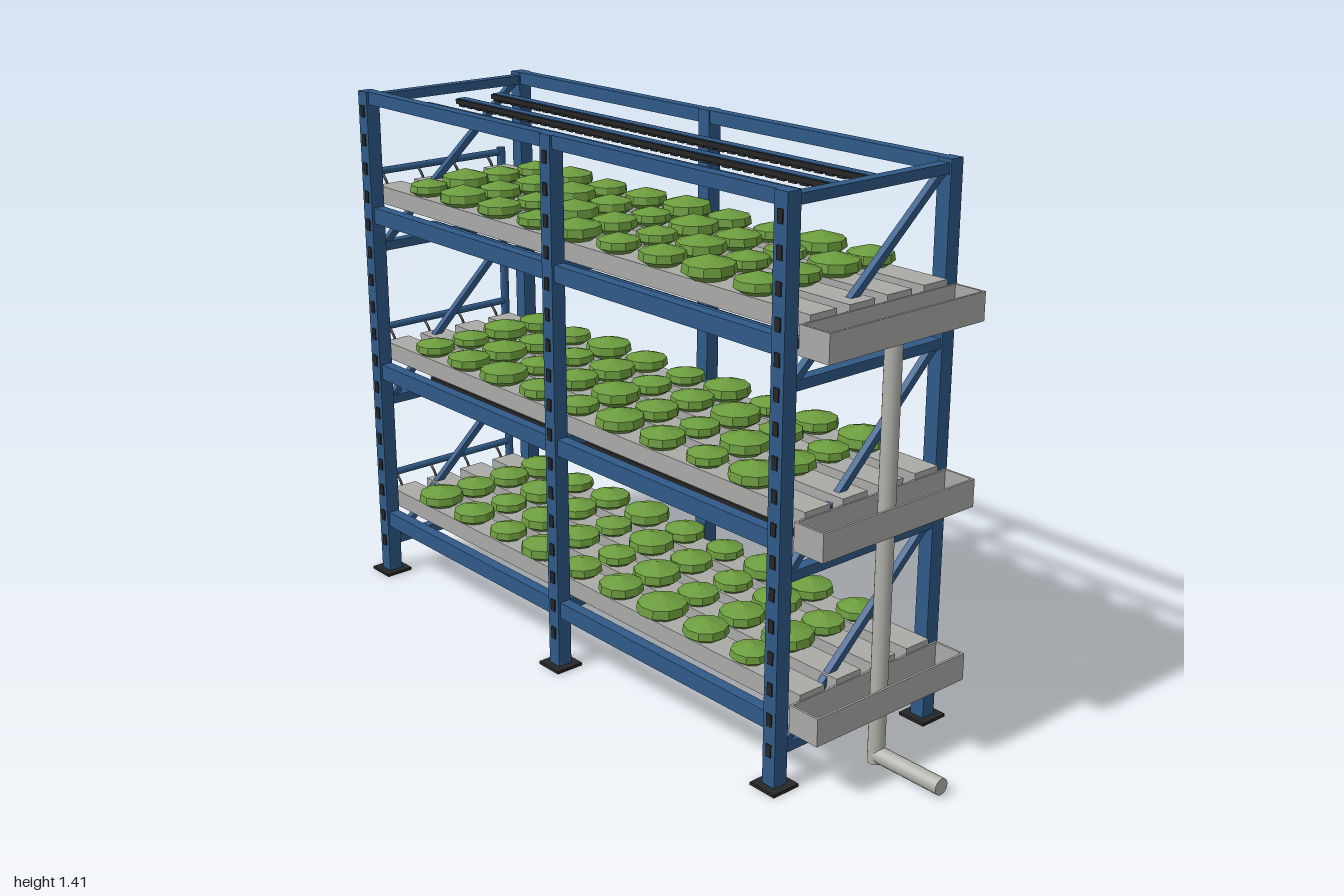
import * as THREE from 'three';

const mat = (name, color, flat = false) => {
  const m = new THREE.MeshStandardMaterial({ color, flatShading: flat });
  m.name = name;
  return m;
};

export function createModel() {
  const blue = mat('blue steel', 0x2f5a88);
  const grey = mat('gutter grey', 0xaaaaa7);
  const pipeGrey = mat('pipe grey', 0xb2b2ac);
  const dark = mat('dark metal', 0x262626);
  const green = mat('leaf green', 0x6c9c3e, true);
  const red = mat('valve red', 0xa52a24);

  const model = new THREE.Group();
  const group = (name) => {
    const g = new THREE.Group();
    g.name = name;
    model.add(g);
    return g;
  };
  const add = (parent, name, geo, material, x, y, z) => {
    const m = new THREE.Mesh(geo, material);
    m.name = name;
    m.position.set(x, y, z);
    parent.add(m);
    return m;
  };
  const box = (parent, name, material, w, h, d, x, y, z) =>
    add(parent, name, new THREE.BoxGeometry(w, h, d), material, x, y, z);
  // Round bar between two points
  const rod = (parent, name, material, a, b, r, sides = 16) => {
    const p = new THREE.Vector3(...a), q = new THREE.Vector3(...b);
    const mid = p.clone().add(q).multiplyScalar(0.5);
    const m = add(parent, name, new THREE.CylinderGeometry(r, r, p.distanceTo(q), sides), material, mid.x, mid.y, mid.z);
    m.quaternion.setFromUnitVectors(new THREE.Vector3(0, 1, 0), q.sub(p).normalize());
    return m;
  };

  const postX = [-0.895, -0.09, 0.715];
  const tierTop = [0.238, 0.688, 1.14];
  const gutterZ = [-0.18, -0.06, 0.06, 0.18];

  // Posts, feet and front slots
  const frame = group('frame');
  for (const x of postX) {
    for (const s of [-1, 1]) {
      box(frame, 'post', blue, 0.04, 1.41, 0.04, x, 0.705, s * 0.256);
      box(frame, 'footPlate', dark, 0.08, 0.008, 0.08, x, 0.004, s * 0.256);
    }
    for (let y = 0.1; y < 1.38; y += 0.0785)
      box(frame, 'postSlot', dark, 0.016, 0.032, 0.004, x, y, 0.277);
  }

  // Long beams, mid cross bars
  const longBeam = (y, h) => {
    for (const s of [-1, 1]) box(frame, 'longBeam', blue, 1.61, h, 0.03, -0.09, y, s * 0.254);
  };
  longBeam(1.393, 0.034);
  for (const top of tierTop) {
    longBeam(top - 0.07, 0.044);
    box(frame, 'crossBar', blue, 0.03, 0.03, 0.48, -0.09, top - 0.065, 0);
  }

  // End bars and diagonal braces
  const barY = [0.097, 0.527, 0.977, 1.388];
  for (const x of [postX[0], postX[2]]) {
    barY.forEach((y, i) => {
      box(frame, 'endBar', blue, 0.03, 0.025, 0.48, x, y, 0);
      if (i < 3) {
        const dy = barY[i + 1] - y, dz = 0.47;
        const brace = box(frame, 'diagonalBrace', blue, 0.018, Math.hypot(dy, dz), 0.018, x, y + dy / 2, 0);
        brace.rotation.x = -Math.atan2(dz, dy);
      }
    });
  }

  // Leafy head profile, scaled per plant
  const headGeo = new THREE.LatheGeometry(
    [[0.001, 0], [0.65, 0], [1, 0.25], [0.95, 0.62], [0, 0.95]].map(([r, y]) => new THREE.Vector2(r, y)), 10);
  const sizes = [0.064, 0.055, 0.059, 0.066, 0.058, 0.053, 0.064, 0.059, 0.053];

  const gutters = group('gutters');
  const plants = group('plants');
  const drains = group('drainage');
  const supply = group('waterSupply');

  tierTop.forEach((top, t) => {
    // Gutters with plants
    gutterZ.forEach((z, j) => {
      box(gutters, 'gutter', grey, 1.685, 0.048, 0.08, -0.0875, top - 0.024, z);
      for (let i = 0; i < 9; i++) {
        const r = sizes[(i + j * 2 + t * 4) % 9];
        const head = add(plants, 'plant', headGeo, green, -0.735 + i * 0.161, top, z);
        head.scale.set(r, r * 0.9, r);
        head.rotation.y = i * 1.3 + j * 0.7 + t;
      }
    });

    // Open collecting trough
    const y0 = top - 0.085;
    box(drains, 'troughFloor', grey, 0.09, 0.008, 0.5, 0.797, y0 + 0.004, 0);
    for (const s of [-1, 1]) {
      box(drains, 'troughSide', grey, 0.006, 0.07, 0.5, 0.797 + s * 0.042, y0 + 0.035, 0);
      box(drains, 'troughEnd', grey, 0.09, 0.07, 0.006, 0.797, y0 + 0.035, s * 0.247);
    }

    // Feed manifold with a drip tube to each gutter
    const my = top + 0.027;
    rod(supply, 'manifold', blue, [-0.973, my, -0.235], [-0.973, my, 0.23], 0.01);
    for (const z of gutterZ) {
      const path = new THREE.CatmullRomCurve3([[-0.973, my, z], [-0.95, my - 0.02, z], [-0.932, my - 0.047, z], [-0.925, my - 0.05, z]]
        .map((p) => new THREE.Vector3(...p)));
      add(supply, 'dripTube', new THREE.TubeGeometry(path, 8, 0.004, 6), dark, 0, 0, 0);
    }
  });

  // Drain pipe and outlet
  rod(drains, 'drainPipe', pipeGrey, [0.797, 0.005, 0], [0.797, 1.06, 0], 0.021, 20);
  rod(drains, 'outletPipe', pipeGrey, [0.797, 0.026, 0], [1, 0.026, 0], 0.021, 20);

  // Supply riser and valve
  rod(supply, 'riser', blue, [-0.973, 0, -0.235], [-0.973, 1.18, -0.235], 0.0125);
  rod(supply, 'valve', red, [-0.973, 0.112, -0.235], [-0.973, 0.155, -0.235], 0.026, 20);

  // Grow lights: dark housing, blue top face and lamp blocks below
  const lights = group('growLights');
  for (const y of [0.582, 1.032, 1.363]) {
    for (const z of [-0.12, 0, 0.12]) {
      box(lights, 'lightHousing', dark, 1.475, 0.013, 0.038, -0.09, y, z);
      box(lights, 'lightTop', blue, 1.475, 0.002, 0.026, -0.09, y + 0.007, z);
      for (let i = 0; i < 40; i++)
        box(lights, 'lamp', dark, 0.024, 0.008, 0.026, -0.81 + i * 0.0369, y - 0.01, z);
    }
  }
  return model;
}
